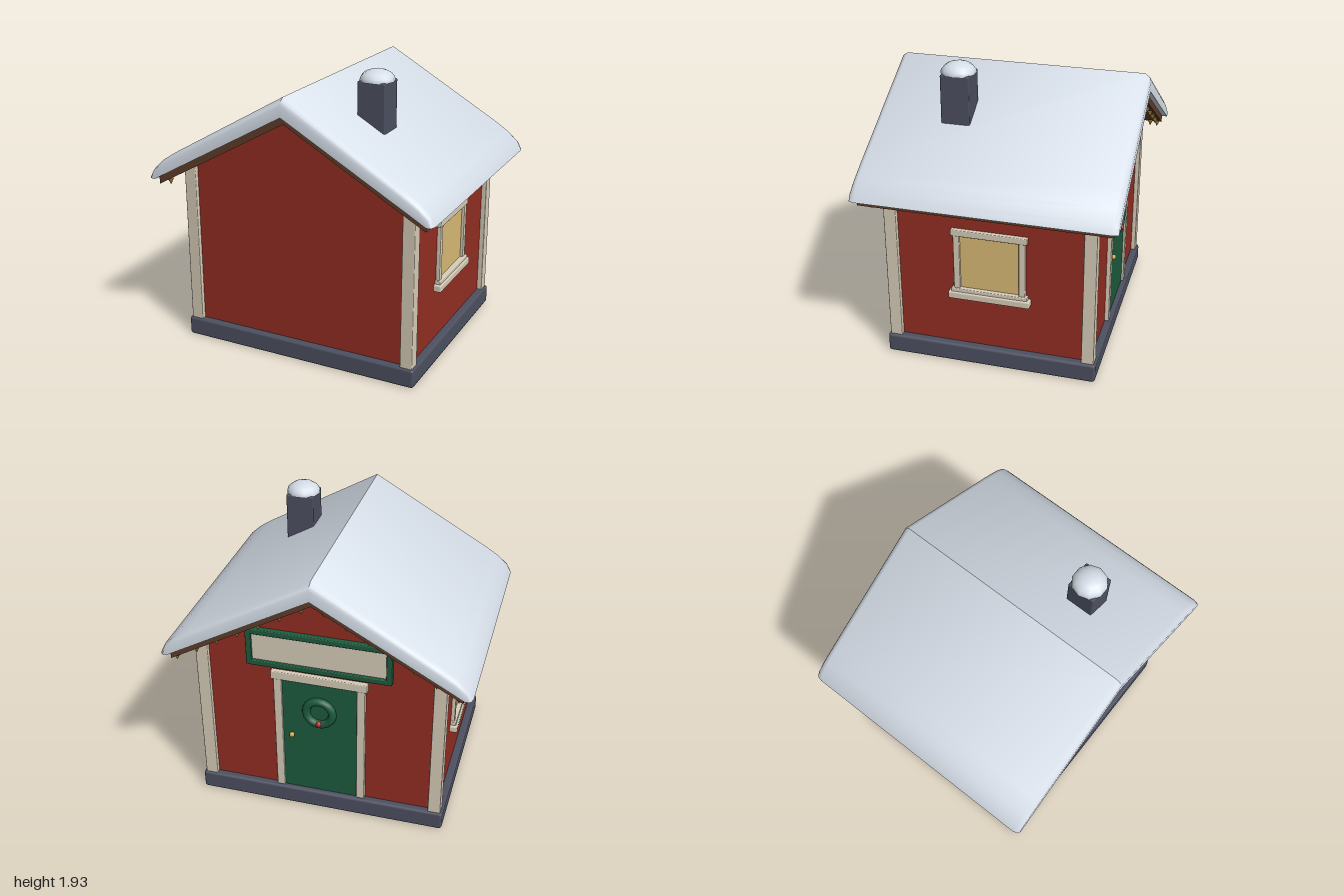
import * as THREE from 'three';
import { toCreasedNormals } from 'three/addons/utils/BufferGeometryUtils.js';
import { RoundedBoxGeometry } from 'three/addons/geometries/RoundedBoxGeometry.js';

const material = (name, color) => Object.assign(new THREE.MeshStandardMaterial({ color }), { name });
const red = material('wall red', 0x932d23);
const cream = material('trim cream', 0xd8cdb9);
const slate = material('slate', 0x4c5060);
const snow = material('snow', 0xd6dee8);
const brown = material('roof wood', 0x5f3d2b);
const green = material('door green', 0x1d5c3e);
const glass = material('window glow', 0xd9bb74);
const gold = material('gold', 0xcfa648);
const berry = material('berry red', 0xb03024);

const SLOPE = 0.56;
const underside = (x) => 1.65 - Math.abs(x) * SLOPE;

function add(parent, name, geometry, mat, x = 0, y = 0, z = 0) {
  const mesh = new THREE.Mesh(geometry, mat);
  mesh.name = name;
  mesh.position.set(x, y, z);
  parent.add(mesh);
  return mesh;
}

// Box given by its min and max on each axis, with slightly softened edges
function block(parent, name, mat, [x0, x1], [y0, y1], [z0, z1], r = 0.006) {
  const size = [x1 - x0, y1 - y0, z1 - z0];
  const geo = r ? new RoundedBoxGeometry(...size, 1, r) : new THREE.BoxGeometry(...size);
  return add(parent, name, geo, mat, (x0 + x1) / 2, (y0 + y1) / 2, (z0 + z1) / 2);
}

// Outline in x/y extruded along z, centred
function prism(points, depth) {
  const shape = new THREE.Shape(points.map((p) => new THREE.Vector2(...p)));
  return new THREE.ExtrudeGeometry(shape, { depth, bevelEnabled: false }).translate(0, 0, -depth / 2);
}

// Snow blanket: rings along z, thinning towards both gable ends
function snowGeometry() {
  const mirror = (half) => [...half.map(([x, y]) => [-x, y]), [0, 0], ...half.slice().reverse()];
  const top = mirror([[1, 1.17], [0.97, 1.23], [0.9, 1.295], [0.8, 1.36]]);
  const bottom = mirror([[0.955, 1.165], [0.945, 1.17], [0.9, 1.196], [0.8, 1.252]]);
  top[4] = [0, 1.82];
  bottom[4] = [0, 1.7];
  const rings = [[-0.845, 0.6], [-0.835, 0.82], [-0.805, 1], [0.805, 1], [0.835, 0.82], [0.845, 0.6]];
  const n = top.length * 2;
  const pos = [];
  const index = [];
  for (const [z, k] of rings) {
    top.forEach(([x, y], i) => {
      const [bx, by] = bottom[i];
      pos.push(bx + (x - bx) * k, by + (y - by) * k, z);
    });
    for (const [x, y] of bottom.slice().reverse()) pos.push(x, y, z);
  }
  const quad = (a, b, c, d) => index.push(a, b, c, a, c, d);
  for (let r = 0; r < rings.length - 1; r++) {
    for (let i = 0; i < n; i++) {
      const j = (i + 1) % n;
      quad(r * n + i, (r + 1) * n + i, (r + 1) * n + j, r * n + j);
    }
  }
  const last = (rings.length - 1) * n;
  for (let i = 0; i < top.length - 1; i++) {
    quad(last + i, last + n - 1 - i, last + n - 2 - i, last + i + 1);
    quad(i, i + 1, n - 2 - i, n - 1 - i);
  }
  const geo = new THREE.BufferGeometry();
  geo.setAttribute('position', new THREE.Float32BufferAttribute(pos, 3));
  geo.setIndex(index);
  return toCreasedNormals(geo, 0.75);
}

// Window built for the +x wall
function makeWindow() {
  const w = new THREE.Group();
  w.name = 'window';
  block(w, 'windowPane', glass, [0.787, 0.796], [0.54, 0.94], [-0.2, 0.2], 0);
  for (const s of [-1, 1]) {
    block(w, 'windowJamb', cream, [0.78, 0.815], [0.54, 0.935], [s * 0.215 - 0.021, s * 0.215 + 0.021]);
  }
  block(w, 'windowHeader', cream, [0.78, 0.82], [0.926, 0.97], [-0.25, 0.25]);
  block(w, 'windowSill', cream, [0.78, 0.84], [0.48, 0.53], [-0.27, 0.27], 0.01);
  block(w, 'sillStep', cream, [0.78, 0.828], [0.52, 0.552], [-0.252, 0.252]);
  return w;
}

export function createModel() {
  const house = new THREE.Group();
  house.name = 'cottage';

  // Foundation and walls
  block(house, 'foundation', slate, [-0.84, 0.84], [0, 0.13], [-0.705, 0.705], 0.018);
  const wallTop = underside(0.79) + 0.02;
  add(house, 'walls', prism([[-0.79, 0.1], [0.79, 0.1], [0.79, wallTop], [0, 1.67], [-0.79, wallTop]], 1.32), red);

  // Corner posts
  for (const sx of [-1, 1]) {
    for (const sz of [-1, 1]) {
      const x = sx * 0.782, z = sz * 0.65;
      block(house, 'cornerPost', cream, [x - 0.042, x + 0.042], [0.12, 1.23], [z - 0.041, z + 0.041]);
    }
  }

  // Roof boards and snow
  const e = 0.94, u = underside(e);
  add(house, 'roofBoards', prism([[-e, u], [0, 1.65], [e, u], [e, u + 0.05], [0, 1.7], [-e, u + 0.05]], 1.62), brown);
  add(house, 'roofSnow', snowGeometry(), snow);

  // Chimney with snow cap
  block(house, 'chimney', slate, [0.295, 0.485], [1.4, 1.86], [0.215, 0.405], 0.008);
  const cap = new THREE.SphereGeometry(0.115, 10, 5, 0, Math.PI * 2, 0, Math.PI / 2).scale(1, 0.63, 1);
  add(house, 'chimneySnow', cap, snow, 0.39, 1.857, 0.31);
  add(house, 'chimneySnowBase', new THREE.CircleGeometry(0.115, 10).rotateX(Math.PI / 2), snow, 0.39, 1.857, 0.31);

  // Side windows
  const windowA = makeWindow();
  const windowB = makeWindow();
  windowB.rotation.y = Math.PI;
  house.add(windowA, windowB);

  // Door on the back gable
  block(house, 'door', green, [-0.255, 0.255], [0.13, 1.01], [-0.672, -0.65], 0);
  for (const s of [-1, 1]) {
    block(house, 'doorJamb', cream, [s * 0.277 - 0.027, s * 0.277 + 0.027], [0.13, 1.01], [-0.688, -0.65]);
  }
  block(house, 'doorLintel', cream, [-0.32, 0.32], [1, 1.06], [-0.693, -0.65]);
  add(house, 'doorKnob', new THREE.SphereGeometry(0.018, 10, 8), gold, 0.19, 0.57, -0.684);
  add(house, 'wreath', new THREE.TorusGeometry(0.088, 0.028, 8, 20), green, 0, 0.78, -0.68);
  add(house, 'wreathBerry', new THREE.SphereGeometry(0.021, 10, 8), berry, 0, 0.7, -0.695);

  // Blank sign board above the door
  const sign = new THREE.Group();
  sign.name = 'sign';
  house.add(sign);
  block(sign, 'signPanel', cream, [-0.45, 0.45], [1.11, 1.335], [-0.678, -0.65], 0);
  for (const s of [-1, 1]) {
    const y = 1.222 + s * 0.115, x = s * 0.458;
    block(sign, 'signRail', green, [-0.477, 0.477], [y - 0.019, y + 0.019], [-0.697, -0.65]);
    block(sign, 'signStile', green, [x - 0.019, x + 0.019], [1.09, 1.355], [-0.697, -0.65]);
  }

  // Hanging lights along both eaves and the back gable
  const bulb = new THREE.ConeGeometry(0.02, 0.042, 6).rotateX(Math.PI);
  const light = (x, z) => add(house, 'hangingLight', bulb, gold, x, underside(x) - 0.02, z);
  for (const s of [-1, 1]) {
    for (let i = 0; i < 8; i++) light(s * 0.91, -0.73 + i * 0.2086);
    for (let i = 0; i < 7; i++) light(s * (0.07 + i * 0.14), -0.78);
  }
  return house;
}
